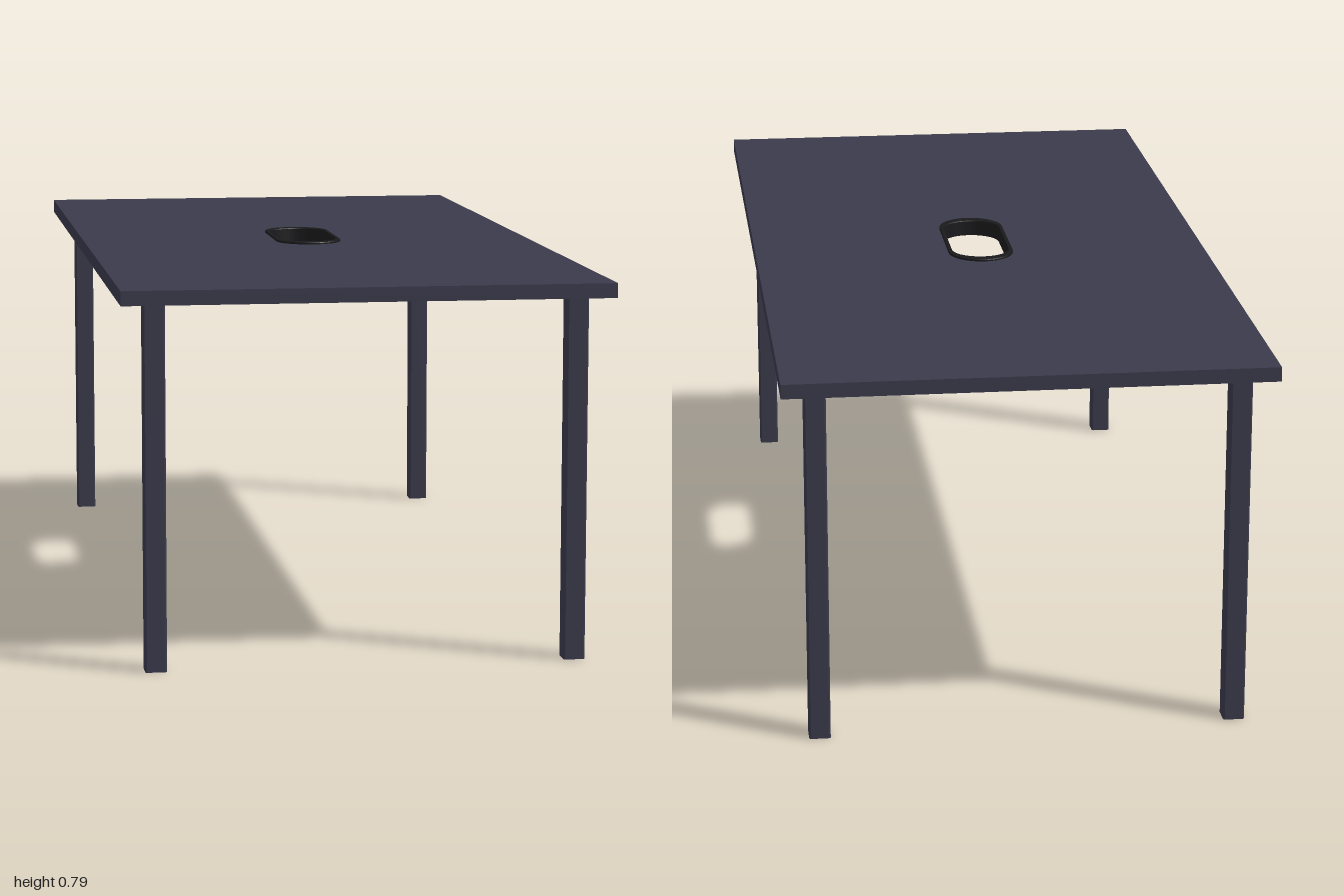
import * as THREE from 'three';

const TOP = 0.78, UNDER = 0.75;

// Pill outline, long axis along the shape's y
function pill(target, halfWidth, halfLength, endDepth) {
  const straight = halfLength - endDepth;
  target.absellipse(0, straight, halfWidth, endDepth, 0, Math.PI, false);
  target.absellipse(0, -straight, halfWidth, endDepth, Math.PI, Math.PI * 2, false);
  target.closePath();
  return target;
}

// Square outline with slightly eased corners
function easedSquare(half, ease) {
  const a = half - ease;
  return new THREE.Shape([
    [half, -a], [half, a], [a, half], [-a, half],
    [-half, a], [-half, -a], [-a, -half], [a, -half],
  ].map(([x, y]) => new THREE.Vector2(x, y)));
}

// Extrude a plan shape upward from y
function extrudeUp(shape, y, height, options = {}) {
  const geometry = new THREE.ExtrudeGeometry(shape, {
    depth: height, bevelEnabled: false, curveSegments: 20, ...options,
  });
  return geometry.rotateX(-Math.PI / 2).translate(0, y, 0);
}

export function createModel() {
  const table = new THREE.Group();
  table.name = 'table';
  const slate = new THREE.MeshStandardMaterial({ color: 0x3a3a4c });
  const black = new THREE.MeshStandardMaterial({ color: 0x1a1a1c });

  const add = (name, geometry, material) => {
    const mesh = new THREE.Mesh(geometry, material);
    mesh.name = name;
    table.add(mesh);
    return mesh;
  };

  // Tabletop with a cable opening
  const board = new THREE.Shape([
    [-0.5, -1], [0.5, -1], [0.5, 1], [-0.5, 1],
  ].map(([x, y]) => new THREE.Vector2(x, y)));
  board.holes.push(pill(new THREE.Path(), 0.066, 0.163, 0.07));
  add('tabletop', extrudeUp(board, UNDER, TOP - UNDER), slate);

  // Sleeve lining the opening
  const sleeve = pill(new THREE.Shape(), 0.067, 0.164, 0.07);
  sleeve.holes.push(pill(new THREE.Path(), 0.063, 0.15, 0.063));
  add('cableSleeve', extrudeUp(sleeve, UNDER, TOP - UNDER + 0.003), black);

  // Raised rim with a softened edge
  const bevel = 0.002;
  const rim = pill(new THREE.Shape(), 0.072 - bevel, 0.175 - bevel, 0.076);
  rim.holes.push(pill(new THREE.Path(), 0.063 + bevel, 0.15 + bevel, 0.065));
  add('cableRim', extrudeUp(rim, TOP, 0.003, {
    bevelEnabled: true, bevelThickness: bevel, bevelSize: bevel, bevelSegments: 2,
  }), black);

  // Four legs
  const legGeometry = extrudeUp(easedSquare(0.022, 0.003), 0, UNDER);
  for (const [side, x] of [['Left', 0.43], ['Right', -0.43]]) {
    for (const [end, z] of [['front', 0.932], ['back', -0.932]]) {
      add(`${end}${side}Leg`, legGeometry, slate).position.set(x, 0, z);
    }
  }
  return table;
}
